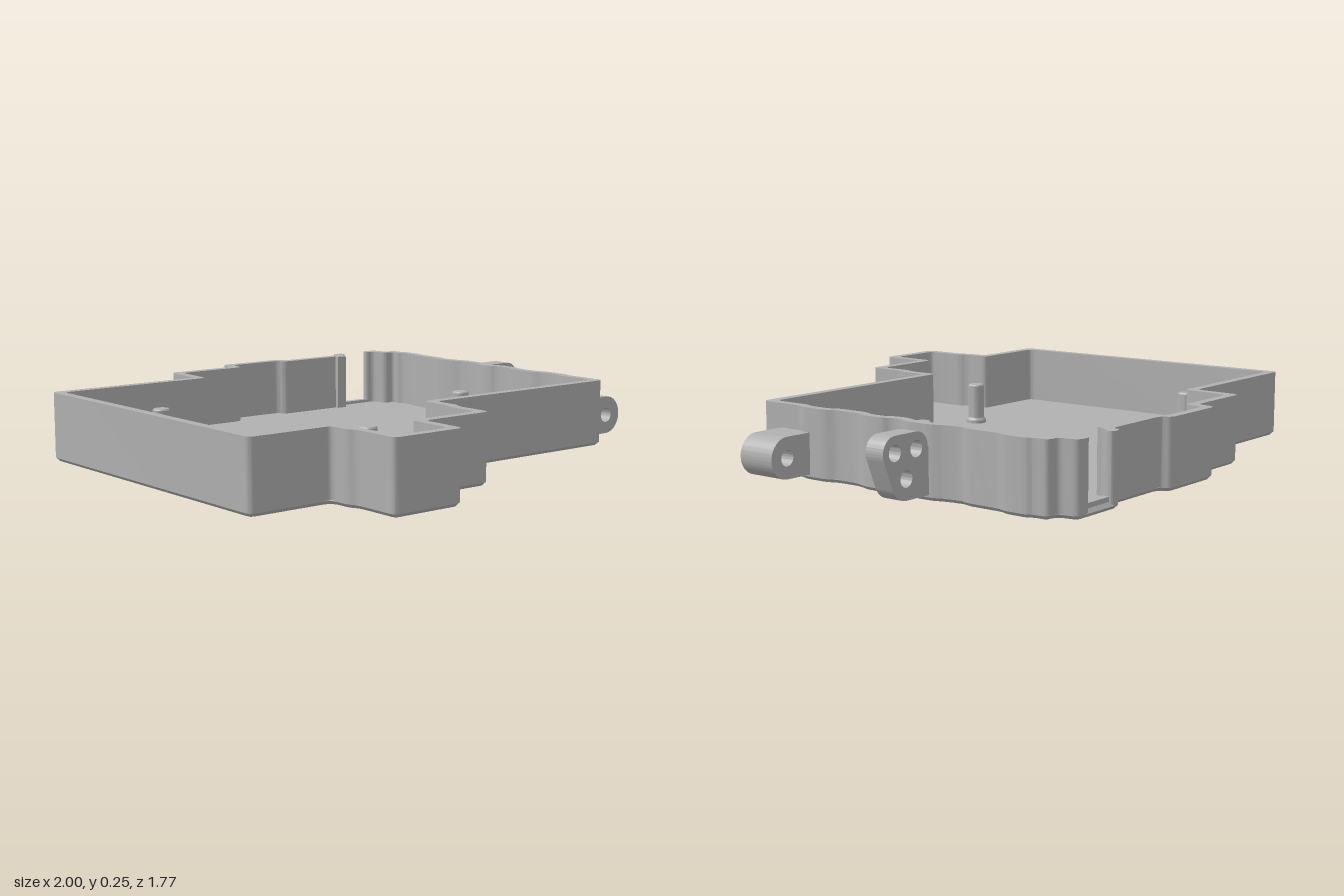
import * as THREE from 'three';
import { toCreasedNormals } from 'three/addons/utils/BufferGeometryUtils.js';

const WALL = 0.034, TOP = 0.25, FLOOR = 0.03;

// Plan outline as [x, z], starting and ending at the two sides of the wall gap
const outline = [
  [0.65, -0.888], [0.712, -0.888], [0.722, -0.815], [0.77, -0.815],
  // wavy left side
  [0.77, -0.76], [0.784, -0.74], [0.784, -0.655], [0.77, -0.63], [0.77, -0.5], [0.757, -0.47],
  [0.768, -0.4], [0.784, -0.36], [0.784, -0.26], [0.765, -0.22], [0.765, -0.18], [0.784, -0.15],
  [0.784, -0.07], [0.765, -0.03], [0.765, 0.07], [0.784, 0.11], [0.784, 0.21], [0.77, 0.235],
  // front steps
  [0.77, 0.415], [-0.08, 0.415], [-0.08, 0.52], [-0.098, 0.545], [-0.098, 0.697], [-0.383, 0.697],
  [-0.387, 0.88], [-0.667, 0.88], [-0.667, 0.70], [-0.685, 0.67], [-0.685, 0.592], [-1, 0.592],
  // back steps
  [-1, -0.637], [-0.39, -0.637], [-0.38, -0.815], [-0.098, -0.815], [-0.088, -0.888],
  [0.185, -0.888], [0.2, -0.85], [0.475, -0.85], [0.487, -0.888], [0.53, -0.888],
];

// Move a closed outline inwards by d, mitring the corners
function inset(pts, d) {
  const n = pts.length;
  const normal = (a, b) => {
    const dx = b[0] - a[0], dz = b[1] - a[1], l = Math.hypot(dx, dz);
    return [-dz / l, dx / l];
  };
  return pts.map((p, i) => {
    const a = normal(pts[(i + n - 1) % n], p), b = normal(p, pts[(i + 1) % n]);
    const k = d / (1 + a[0] * b[0] + a[1] * b[1]);
    return [p[0] + (a[0] + b[0]) * k, p[1] + (a[1] + b[1]) * k];
  });
}

// Shape from plan points with softened corners
function roundedShape(pts, radius) {
  const s = new THREE.Shape(), n = pts.length;
  const v = pts.map(([x, z]) => new THREE.Vector2(x, -z));
  v.forEach((p, i) => {
    const toward = (q) => p.clone().lerp(q, Math.min(radius / p.distanceTo(q), 0.45));
    const a = toward(v[(i + n - 1) % n]), b = toward(v[(i + 1) % n]);
    if (i === 0) s.moveTo(a.x, a.y); else s.lineTo(a.x, a.y);
    s.quadraticCurveTo(p.x, p.y, b.x, b.y);
  });
  s.closePath();
  return s;
}

function addHole(shape, x, y, r) {
  const h = new THREE.Path();
  h.absarc(x, y, r, 0, Math.PI * 2, true);
  shape.holes.push(h);
}

export function createModel() {
  const group = new THREE.Group();
  const grey = new THREE.MeshStandardMaterial({ color: 0xb0b0b0 });
  grey.name = 'grey';

  const add = (name, geometry) => {
    const mesh = new THREE.Mesh(toCreasedNormals(geometry, 0.6), grey);
    mesh.name = name;
    group.add(mesh);
    return mesh;
  };
  // Extrude a plan shape upwards from y0
  const slab = (name, shape, y0, depth, options = {}) => {
    const g = new THREE.ExtrudeGeometry(shape, { depth, bevelEnabled: false, curveSegments: 5, ...options });
    g.rotateX(-Math.PI / 2);
    g.translate(0, y0, 0);
    return add(name, g);
  };

  // Floor: chamfered underside with countersunk holes, plus a plain top layer
  const screwHoles = [[-0.67, -0.315], [0.48, -0.53], [0.48, 0.045], [-0.095, 0.01], [-0.67, 0.26]];
  const base = roundedShape(outline, 0.03);
  const floor = roundedShape(inset(outline, 0.018), 0.025);
  for (const s of [base, floor]) screwHoles.forEach(([x, z]) => addHole(s, x, -z, 0.024));
  slab('floorUnderside', base, 0.012, 0.001,
    { bevelEnabled: true, bevelThickness: 0.012, bevelSize: 0.012, bevelOffset: -0.012, bevelSegments: 1 });
  slab('floorTop', floor, 0.011, FLOOR - 0.011);

  // Wall: one strip around the outline, open at the gap
  const wallPlan = [...outline, ...inset(outline, WALL).reverse()];
  slab('wall', roundedShape(wallPlan, 0.025), 0.012, TOP - 0.012);

  const box = (name, x0, x1, y0, y1, z0, z1) => {
    const g = new THREE.BoxGeometry(x1 - x0, y1 - y0, z1 - z0);
    g.translate((x0 + x1) / 2, (y0 + y1) / 2, (z0 + z1) / 2);
    return add(name, g);
  };
  // Sill across the gap and the thicker wall next to it
  box('gapSill', 0.52, 0.66, 0.012, 0.042, -0.875, -0.85);
  box('wallRib', 0.445, 0.488, 0.02, TOP - 0.001, -0.83, -0.8);

  // Support posts with a flared foot
  const postProfile = [[0.039, 0], [0.039, 0.012], [0.032, 0.022], [0.032, 0.15], [0.028, 0.155], [0, 0.155]]
    .map(([r, y]) => new THREE.Vector2(r, y));
  for (const [x, z] of [[-0.677, -0.417], [0.46, -0.047], [-0.348, 0.365]]) {
    add('post', new THREE.LatheGeometry(postProfile, 24)).position.set(x, FLOOR, z);
  }

  // Side lugs, drawn from the front and extruded along z
  const lug = (name, shape, z0, z1) => {
    const g = new THREE.ExtrudeGeometry(shape, { depth: z1 - z0, bevelEnabled: false, curveSegments: 20 });
    g.translate(0, 0, z0);
    add(name, g);
  };
  const H = Math.PI / 2;
  const wide = new THREE.Shape();
  wide.moveTo(0.75, 0.02);
  wide.lineTo(0.89, 0.02);
  wide.absarc(0.89, 0.0925, 0.0725, -H, H, false);
  wide.lineTo(0.75, 0.165);
  wide.closePath();
  addHole(wide, 0.89, 0.0925, 0.028);
  lug('wideLug', wide, 0.178, 0.327);

  const narrow = new THREE.Shape();
  narrow.moveTo(0.75, 0.02);
  narrow.lineTo(0.89, 0.02);
  narrow.absarc(0.89, 0.09, 0.07, -H, -0.4, false);
  narrow.absarc(0.943, 0.18, 0.055, -0.4, H, false);
  narrow.absarc(0.842, 0.18, 0.055, H, Math.PI, false);
  narrow.lineTo(0.75, 0.18);
  narrow.closePath();
  for (const [x, y] of [[0.842, 0.18], [0.943, 0.18], [0.89, 0.09]]) addHole(narrow, x, y, 0.028);
  lug('narrowLug', narrow, -0.353, -0.28);

  return group;
}
